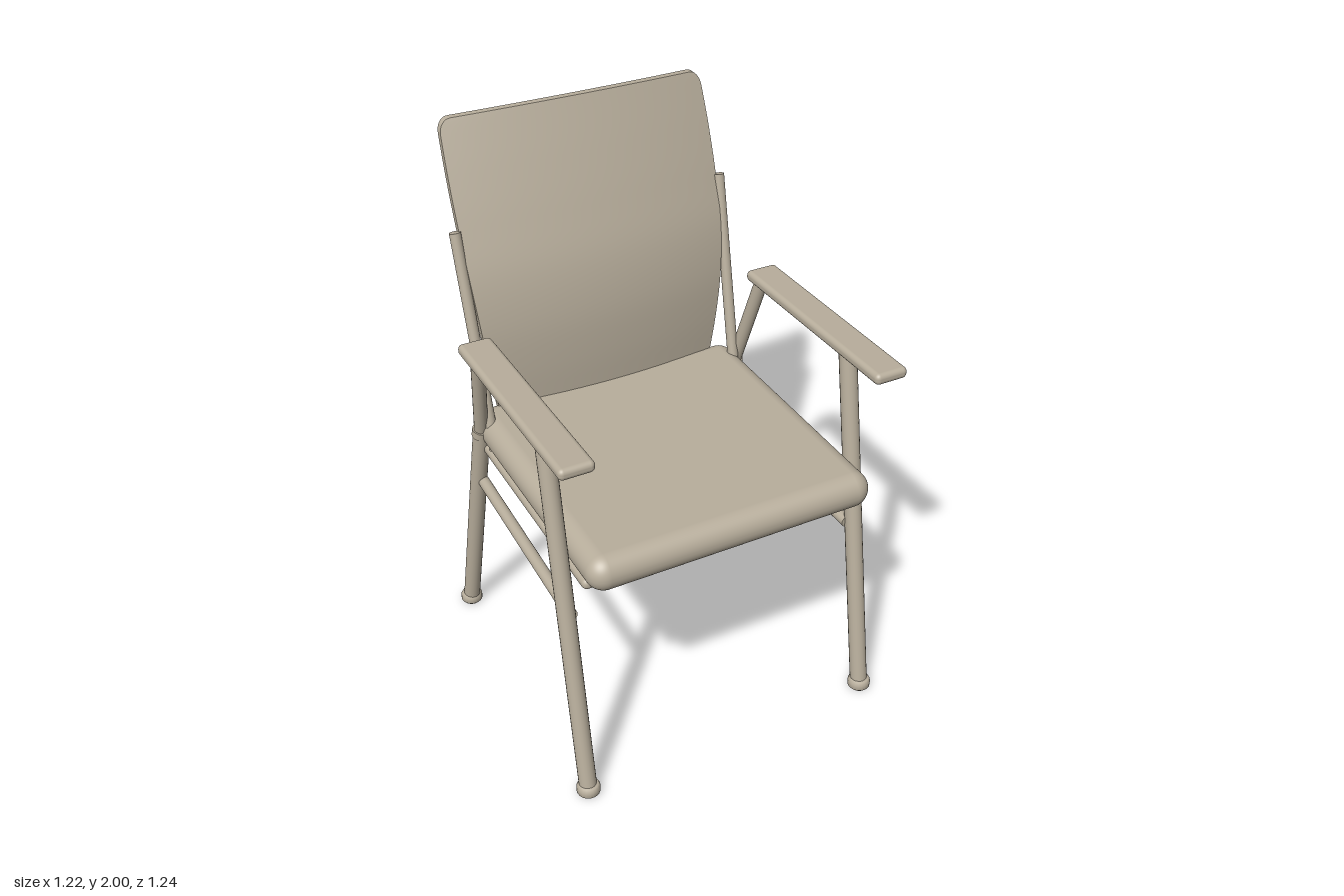
import * as THREE from 'three';
import { RoundedBoxGeometry } from 'three/addons/geometries/RoundedBoxGeometry.js';

const taupe = new THREE.MeshStandardMaterial({ color: 0xb8ae9c });
taupe.name = 'taupe';

function add(parent, name, geometry, x = 0, y = 0, z = 0) {
  const mesh = new THREE.Mesh(geometry, taupe);
  mesh.name = name;
  mesh.position.set(x, y, z);
  parent.add(mesh);
  return mesh;
}

// Straight round bar between two points
function rod(parent, name, from, to, radius) {
  const a = new THREE.Vector3(...from), b = new THREE.Vector3(...to);
  const dir = b.clone().sub(a);
  const mesh = add(parent, name, new THREE.CylinderGeometry(radius, radius, dir.length(), 20));
  mesh.position.copy(a).add(b).multiplyScalar(0.5);
  mesh.quaternion.setFromUnitVectors(new THREE.Vector3(0, 1, 0), dir.normalize());
  return mesh;
}

// Thin shell: leans back as it rises, with the middle bowed forward
function backrestGeometry() {
  const curve = (pts) => new THREE.CatmullRomCurve3(pts.map(([y, v]) => new THREE.Vector3(v, y, 0)));
  const sample = (c, t) => c.getPoint(t).x;
  // evenly spaced heights from 0.95 to 2.0
  const depth = curve([[0, -0.345], [1, -0.338], [2, -0.343], [3, -0.372], [4, -0.428], [5, -0.492], [6, -0.56]]);
  const width = curve([[0, 0.425], [1, 0.45], [2, 0.47], [3, 0.484], [4, 0.49], [5, 0.49], [6, 0.484]]);
  const geo = new THREE.BoxGeometry(2, 1, 1, 28, 40, 2);
  const p = geo.attributes.position;
  const corner = 0.05, thickness = 0.026;
  for (let i = 0; i < p.count; i++) {
    const u = p.getX(i), side = p.getZ(i);
    const t = 1 - Math.pow(0.5 - p.getY(i), 1.7);
    const y = 0.95 + 1.05 * t;
    const over = Math.max(0, y - (2 - corner));
    const inset = corner - Math.sqrt(Math.max(0, corner * corner - over * over));
    const x = u * (sample(width, t) - inset * 0.8);
    const bow = 0.042 * (x / 0.48) ** 2;
    p.setXYZ(i, x, y - 0.012 * u * u * t, sample(depth, t) - bow + (side - 0.5) * thickness);
  }
  geo.computeVertexNormals();
  return geo;
}

export function createModel() {
  const chair = new THREE.Group();
  chair.name = 'armchair';

  // Cushion and the pan beneath it
  add(chair, 'seatCushion', new RoundedBoxGeometry(1.04, 0.13, 1.015, 8, 0.064), 0, 0.92, 0.0875);
  add(chair, 'seatPan', new RoundedBoxGeometry(1.03, 0.042, 0.93, 4, 0.02), 0, 0.851, 0.045);

  add(chair, 'backrest', backrestGeometry());

  const footProfile = [[0, 0], [0.034, 0], [0.041, 0.008], [0.041, 0.028], [0.034, 0.04], [0, 0.044]]
    .map(([r, y]) => new THREE.Vector2(r, y));

  for (const s of [1, -1]) {
    const side = new THREE.Group();
    side.name = s > 0 ? 'leftSide' : 'rightSide';
    chair.add(side);

    // Legs and arm supports
    rod(side, 'frontLeg', [s * 0.553, 0.02, 0.573], [s * 0.55, 1.345, 0.325], 0.031);
    rod(side, 'rearLeg', [s * 0.545, 0.02, -0.53], [s * 0.513, 0.93, -0.34], 0.031);
    rod(side, 'rearArmSupport', [s * 0.513, 0.9, -0.347], [s * 0.55, 1.345, -0.212], 0.025);
    rod(side, 'legCollar', [s * 0.515, 0.905, -0.345], [s * 0.513, 0.935, -0.338], 0.034);

    // Feet
    add(side, 'frontFoot', new THREE.LatheGeometry(footProfile, 20), s * 0.553, 0, 0.575);
    add(side, 'rearFoot', new THREE.LatheGeometry(footProfile, 20), s * 0.545, 0, -0.532);

    // Side stretcher with its rear bolt
    rod(side, 'stretcher', [s * 0.53, 0.685, 0.44], [s * 0.512, 0.685, -0.39], 0.021);
    rod(side, 'stretcherBolt', [s * 0.515, 0.69, -0.38], [s * 0.515, 0.695, -0.42], 0.012);

    // Post carrying the backrest
    rod(side, 'backPost', [s * 0.488, 0.87, -0.284], [s * 0.503, 1.64, -0.475], 0.02);

    // Armrest, slightly raised at the front
    const arm = add(side, 'armrest', new RoundedBoxGeometry(0.12, 0.04, 0.822, 4, 0.017), s * 0.55, 1.352, 0.17);
    arm.rotation.x = -0.018;
  }
  return chair;
}
